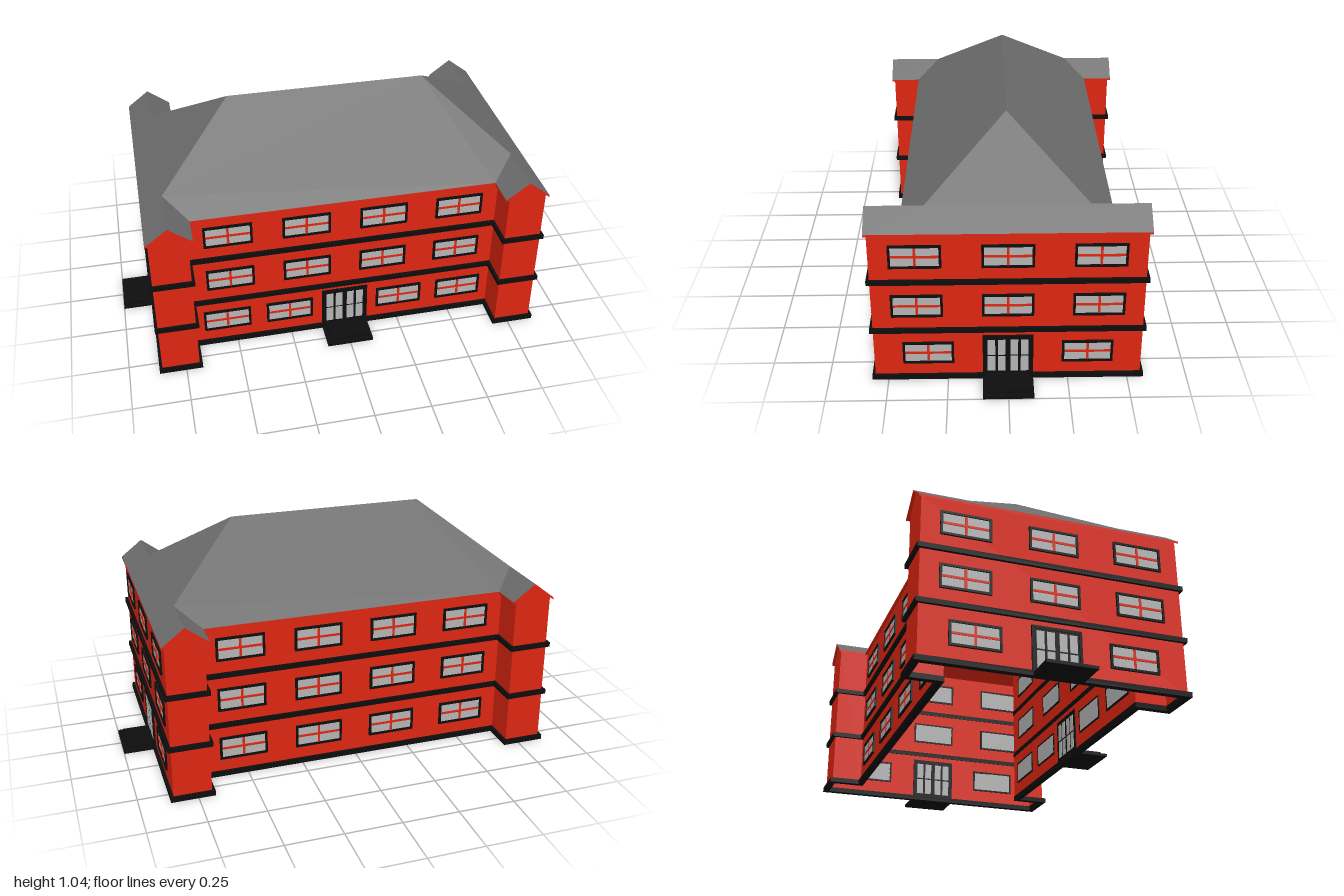
import * as THREE from 'three';

const mat = (color, side = THREE.FrontSide) => new THREE.MeshStandardMaterial({ color, side, flatShading: true });
const RED = mat(0xdd2510), BLACK = mat(0x0d0d0d), GLASS = mat(0xb4b4b4);
const ROOF = mat(0x6c6c6c, THREE.DoubleSide), RED2 = mat(0xdd2510, THREE.DoubleSide);

function add(parent, name, geo, material, x = 0, y = 0, z = 0) {
  const m = new THREE.Mesh(geo, material);
  m.name = name;
  m.position.set(x, y, z);
  parent.add(m);
  return m;
}
const box = (w, h, d) => new THREE.BoxGeometry(w, h, d);

// H-shaped floor plan grown outwards by o
function planPoints(o) {
  const X = 0.855 + o, Z = 0.555 + o, xi = 0.69 - o, zi = 0.415 + o;
  return [[X, -Z], [X, Z], [xi, Z], [xi, zi], [-xi, zi], [-xi, Z], [-X, Z], [-X, -Z],
    [-xi, -Z], [-xi, -zi], [xi, -zi], [xi, -Z]].map(([x, y]) => new THREE.Vector2(x, y));
}
// Hollow H-shaped ring standing between y0 and y1
function planRing(parent, name, outer, inner, y0, y1, material) {
  const s = new THREE.Shape(planPoints(outer));
  s.holes.push(new THREE.Path(planPoints(inner)));
  const g = new THREE.ExtrudeGeometry(s, { depth: y1 - y0, bevelEnabled: false });
  g.rotateX(-Math.PI / 2);
  add(parent, name, g, material, 0, y0, 0);
}

// Rectangular frame centred on the wall line, facing +z
function frame(w, h, t) {
  const rect = (C, a, b) => new C([[-a, -b], [a, -b], [a, b], [-a, b]].map(p => new THREE.Vector2(...p)));
  const s = rect(THREE.Shape, w / 2, h / 2);
  s.holes.push(rect(THREE.Path, w / 2 - t, h / 2 - t));
  return new THREE.ExtrudeGeometry(s, { depth: 0.021, bevelEnabled: false }).translate(0, 0, -0.013);
}

function makeWindow() {
  const g = new THREE.Group();
  g.name = 'window';
  add(g, 'windowFrame', frame(0.212, 0.106, 0.01), BLACK);
  add(g, 'windowPane', box(0.196, 0.09, 0.016), GLASS, 0, 0, -0.005);
  add(g, 'windowBarUpright', box(0.01, 0.086, 0.004), RED, 0, 0, 0.004);
  add(g, 'windowBarCross', box(0.192, 0.01, 0.004), RED, 0, 0, 0.004);
  return g;
}

function makeEntrance(depth) {
  const g = new THREE.Group();
  g.name = 'entrance';
  add(g, 'doorFrame', frame(0.21, 0.195, 0.012), BLACK, 0, 0.1175, 0);
  add(g, 'doorLeaves', box(0.19, 0.175, 0.018), BLACK, 0, 0.1175, -0.004);
  for (const x of [-0.069, -0.026, 0.026, 0.069])
    for (const y of [0.073, 0.156])
      add(g, 'doorPane', box(0.032, 0.076, 0.022), GLASS, x, y, -0.004);
  add(g, 'lowerStep', box(0.21, 0.012, depth), BLACK, 0, 0.006, depth / 2);
  add(g, 'upperStep', box(0.175, 0.012, depth - 0.022), BLACK, 0, 0.018, (depth - 0.022) / 2);
  return g;
}

// Roof plane: grey top sheet with a thin red board beneath it
function roofPlane(parent, name, pts) {
  const flat = pts.map(p => new THREE.Vector2(p[0], -p[2]));
  if (THREE.ShapeUtils.isClockWise(flat)) { flat.reverse(); pts = [...pts].reverse(); }
  const tris = THREE.ShapeUtils.triangulateShape(flat, []);
  const T = 0.01, low = p => [p[0], p[1] - T, p[2]];
  const top = [], under = [];
  for (const [a, b, c] of tris) {
    top.push(...pts[a], ...pts[b], ...pts[c]);
    under.push(...low(pts[a]), ...low(pts[c]), ...low(pts[b]));
  }
  pts.forEach((p, i) => {
    const q = pts[(i + 1) % pts.length];
    under.push(...p, ...low(p), ...low(q), ...p, ...low(q), ...q);
  });
  for (const [n, v, m] of [[name, top, ROOF], [name + 'Board', under, RED2]]) {
    const g = new THREE.BufferGeometry();
    g.setAttribute('position', new THREE.Float32BufferAttribute(v, 3));
    g.computeVertexNormals();
    add(parent, n, g, m);
  }
}

export function createModel() {
  const model = new THREE.Group();
  model.name = 'building';

  // Walls, plinth and floor bands
  planRing(model, 'walls', 0, -0.01, 0.01, 0.709, RED);
  planRing(model, 'plinth', 0.013, -0.013, 0, 0.022, BLACK);
  for (const y of [0.237, 0.473]) planRing(model, 'floorBand', 0.013, -0.013, y, y + 0.021, BLACK);

  // Windows and entrances: angle of each side, wall distance, window columns per floor
  const long = [-0.515, -0.172, 0.172, 0.515], short = [-0.37, 0, 0.37];
  const sides = [
    { name: 'front', angle: 0, dist: 0.415, upper: long, ground: [-0.54, -0.255, 0.255, 0.54], step: 0.14 },
    { name: 'back', angle: Math.PI, dist: 0.415, upper: long, ground: long },
    { name: 'leftEnd', angle: Math.PI / 2, dist: 0.855, upper: short, ground: [-0.33, 0.33], step: 0.145 },
    { name: 'rightEnd', angle: -Math.PI / 2, dist: 0.855, upper: short, ground: [-0.33, 0.33], step: 0.145 },
  ];
  for (const s of sides) {
    const side = new THREE.Group();
    side.name = s.name + 'Openings';
    side.rotation.y = s.angle;
    [[0.132, s.ground], [0.367, s.upper], [0.602, s.upper]].forEach(([y, xs]) => xs.forEach(x => {
      const w = makeWindow();
      w.position.set(x, y, s.dist);
      side.add(w);
    }));
    if (s.step) {
      const e = makeEntrance(s.step);
      e.position.z = s.dist;
      side.add(e);
    }
    model.add(side);
  }

  // Hipped main roof running into the gabled wing roofs
  const E = 0.71, R = 1.04, W = 0.785;
  const roof = new THREE.Group();
  roof.name = 'roof';
  model.add(roof);
  for (const k of [1, -1]) {
    roofPlane(roof, 'mainSlope', [[-0.44, R, 0], [0.44, R, 0], [0.77, W, 0.33 * k], [0.67, E, 0.43 * k],
      [-0.67, E, 0.43 * k], [-0.77, W, 0.33 * k]]);
    roofPlane(roof, 'endSlope', [[0.44, R, 0], [0.77, W, 0.33], [0.77, W, 0.567], [0.867, E, 0.567],
      [0.867, E, -0.567], [0.77, W, -0.567], [0.77, W, -0.33]].map(([x, y, z]) => [x * k, y, z]));
    for (const j of [1, -1]) {
      roofPlane(roof, 'wingInnerSlope', [[0.77, W, 0.33], [0.77, W, 0.567], [0.67, E, 0.567], [0.67, E, 0.43]]
        .map(([x, y, z]) => [x * k, y, z * j]));
      // Gable wall closing each wing end
      const gable = new THREE.Shape([[0.69, 0.7], [0.855, 0.7], [0.855, 0.709], [0.77, 0.775], [0.69, 0.715]]
        .map(([x, y]) => new THREE.Vector2(x * k, y)));
      add(model, 'gable', new THREE.ExtrudeGeometry(gable, { depth: 0.01, bevelEnabled: false }), RED2,
        0, 0, j > 0 ? 0.545 : -0.555);
    }
  }
  return model;
}
